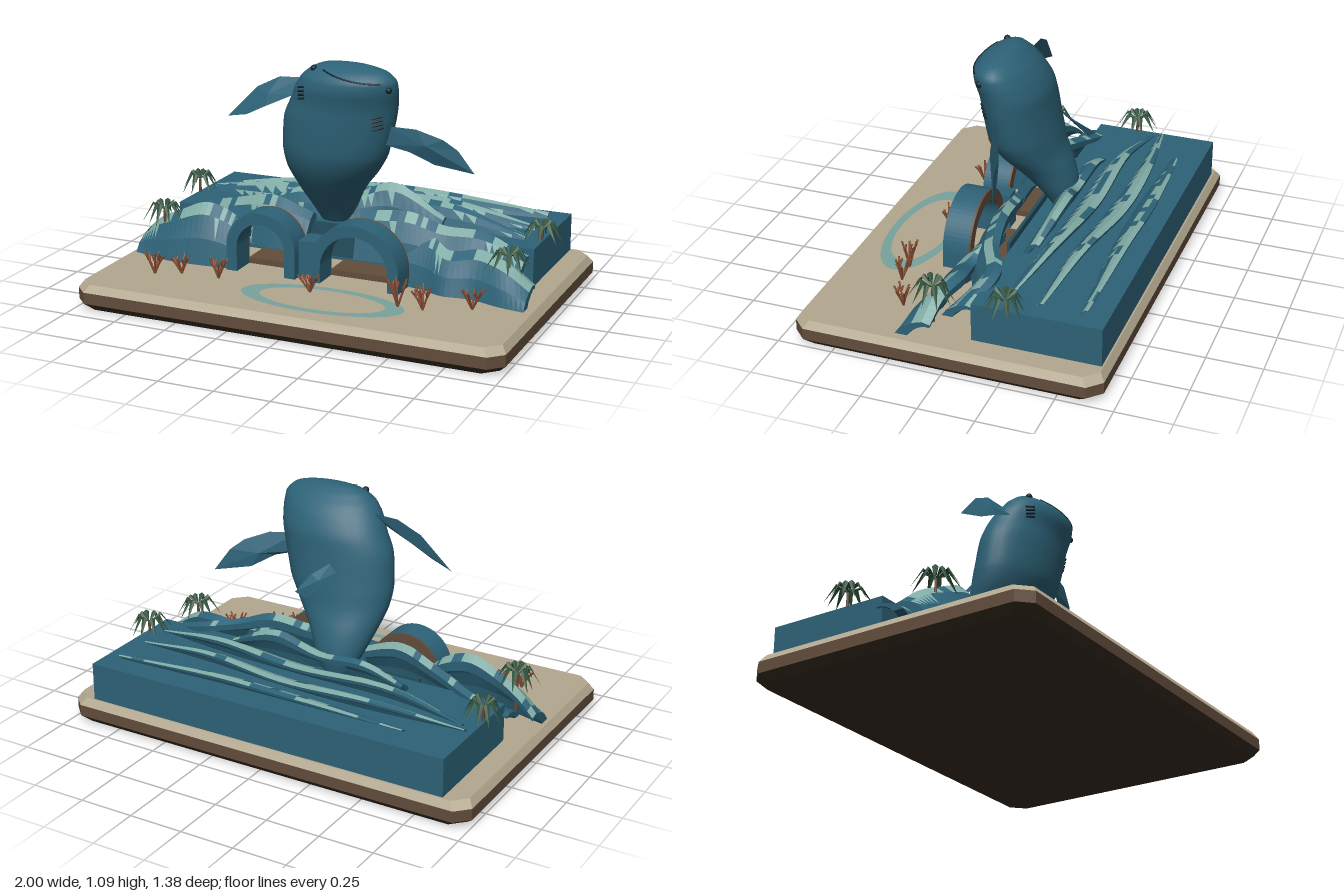
import * as THREE from 'three';

const mat = (name, color, side = THREE.FrontSide) => {
  const m = new THREE.MeshStandardMaterial({ color, side });
  m.name = name;
  return m;
};

export function createModel() {
  const D = THREE.DoubleSide;
  const teal = mat('ocean teal', 0x2d6277, D), foam = mat('pale foam', 0x80aaa4, D);
  const sand = mat('sand', 0xb3a890), brown = mat('wood brown', 0x624d3b), earth = mat('dark earth', 0x3a2d23);
  const ink = mat('dark ink', 0x14262e), green = mat('palm green', 0x31523c, D), coralMat = mat('coral', 0x8f5236);
  const shade = mat('shaded teal', 0x234e5e), pool = mat('pool ring', 0x78a39c);

  const model = new THREE.Group();
  const V = (x, y, z) => new THREE.Vector3(x, y, z);
  const add = (name, geo, material, x = 0, y = 0, z = 0, parent = model) => {
    const m = new THREE.Mesh(geo, material);
    m.name = name;
    m.position.set(x, y, z);
    parent.add(m);
    return m;
  };
  const group = (name) => {
    const g = new THREE.Group();
    g.name = name;
    model.add(g);
    return g;
  };
  const box = (name, material, x0, x1, y0, y1, z0, z1) => add(name, new THREE.BoxGeometry(x1 - x0, y1 - y0, z1 - z0),
    material, (x0 + x1) / 2, (y0 + y1) / 2, (z0 + z1) / 2);
  let seed = 11;
  const rand = () => (seed = (seed * 16807) % 2147483647) / 2147483647;

  // Flat-faced geometry from a list of triangle corners
  const faces = (corners) => {
    const g = new THREE.BufferGeometry().setFromPoints(corners);
    g.computeVertexNormals();
    return g;
  };

  // Closed skin over rings of points, listed from bottom to top
  const loft = (rings, smooth) => {
    const n = rings[0].length, idx = [], pts = rings.flat();
    const centre = (r) => r.reduce((s, p) => s.add(p), V(0, 0, 0)).divideScalar(n);
    const last = (rings.length - 1) * n, lo = pts.length, hi = lo + 1;
    pts.push(centre(rings[0]), centre(rings.at(-1)));
    for (let j = 0; j < n; j++) {
      const k = (j + 1) % n;
      for (let i = 0; i < last; i += n) idx.push(i + j, i + n + j, i + k, i + k, i + n + j, i + n + k);
      idx.push(lo, j, k, hi, last + k, last + j);
    }
    let g = new THREE.BufferGeometry().setFromPoints(pts);
    g.setIndex(idx);
    if (!smooth) g = g.toNonIndexed();
    g.computeVertexNormals();
    return g;
  };

  // Base with cut corners, in three layers
  const plate = (y, inset) => {
    const X = 1 - inset, Z = 0.69 - inset, c = 0.06;
    return [[X, Z - c], [X - c, Z], [c - X, Z], [-X, Z - c], [-X, c - Z], [c - X, -Z], [X - c, -Z], [X, c - Z]]
      .map(([x, z]) => V(x, y, z));
  };
  add('baseUnderside', loft([plate(0, 0.035), plate(0.035, 0)]), earth);
  add('baseBand', loft([plate(0.035, 0), plate(0.087, 0)]), brown);
  add('baseSand', loft([plate(0.087, 0), plate(0.12, 0.022)]), sand);
  const ring = new THREE.RingGeometry(0.768, 1, 48).rotateX(-Math.PI / 2).scale(0.38, 1, 0.155);
  add('poolRing', ring, pool, 0.1, 0.123, 0.44);

  // Building, entrance wall and floors
  box('building', teal, -0.88, 0.88, 0.12, 0.295, -0.66, -0.09);
  box('entranceWall', shade, -0.46, 0.37, 0.145, 0.3, -0.075, -0.06);
  box('centrePillar', teal, -0.12, -0.04, 0.12, 0.29, 0.08, 0.2);

  // Entrance arches
  const archShape = (r, spring, t) => {
    const s = new THREE.Shape();
    s.moveTo(r, 0.12).lineTo(r, spring).absarc(0, spring, r, 0, Math.PI, false).lineTo(-r, 0.12);
    s.lineTo(t - r, 0.12).lineTo(t - r, spring).absarc(0, spring, r - t, Math.PI, 0, true).lineTo(r - t, 0.12);
    return s;
  };
  for (const [x, r, spring] of [[-0.29, 0.17, 0.235], [0.163, 0.2125, 0.1925]]) {
    const arch = (t, depth) => new THREE.ExtrudeGeometry(archShape(r, spring, t), { depth, bevelEnabled: false, curveSegments: 16 });
    add('entranceArch', arch(0.052, 0.12), teal, x, 0, 0.122);
    add('archFrame', arch(0.05, 0.01), brown, x, 0, 0.112);
    box('entranceFloor', brown, x - r + 0.05, x + r - 0.05, 0.12, 0.147, -0.03, 0.118);
  }

  // Curling waves: a crescent section swept along x, with foam on random cells
  const outer = [[1, 0], [0.8, 0.45], [0.45, 0.82], [0.12, 1], [-0.15, 0.9]];
  const inner = [[0.6, 0], [0.47, 0.32], [0.25, 0.6], [0.05, 0.75], [-0.13, 0.72]];
  const wave = (name, base, depth, path, foaminess, taper = 0) => {
    const curve = new THREE.CatmullRomCurve3(path.map(([x, zFront, top]) => V(x, top, zFront)));
    const n = 26, skin = [], spray = [], secs = [];
    for (let i = 0; i <= n; i++) {
      const p = curve.getPoint(i / n), d = depth * (1 - taper + taper * Math.sin(Math.PI * i / n));
      const place = ([u, v]) => V(p.x, base + v * Math.max(0.015, p.y - base), p.z - (1 - u) * d);
      secs.push([outer.map(place), inner.map(place)]);
    }
    const quad = (list, a, b, c, d) => list.push(a, b, c, c, b, d);
    const run = outer.map(() => false);
    for (let i = 0; i < n; i++) {
      const [o, q] = secs[i], [o2, q2] = secs[i + 1];
      for (let k = 0; k < 4; k++) {
        if (rand() < 0.55) run[k] = rand() < foaminess * [0.25, 0.5, 1, 1.2][k];
        if (run[k] && k < 2) {
          skin.push(o[k], o2[k], o[k + 1]);
          spray.push(o[k + 1], o2[k], o2[k + 1]);
        } else quad(run[k] ? spray : skin, o[k], o2[k], o[k + 1], o2[k + 1]);
        quad(skin, q[k], q[k + 1], q2[k], q2[k + 1]);
      }
      quad(skin, o[4], o2[4], q[4], q2[4]);
      quad(skin, o[0], q[0], o2[0], q2[0]);
    }
    for (const [o, q] of [secs[0], secs[n]])
      for (let k = 0; k < 4; k++) quad(skin, o[k], o[k + 1], q[k], q[k + 1]);
    const g = faces([...skin, ...spray]);
    g.addGroup(0, skin.length, 0);
    g.addGroup(skin.length, spray.length, 1);
    add(name, g, [teal, foam]);
  };
  wave('frontWaveRight', 0.12, 0.14, [[-0.96, 0.19, 0.2], [-0.88, 0.21, 0.27], [-0.76, 0.24, 0.33], [-0.62, 0.24, 0.385], [-0.5, 0.23, 0.35], [-0.42, 0.23, 0.28]], 0.45);
  wave('rearWaveRight', 0.2, 0.12, [[-0.9, 0.03, 0.25], [-0.75, 0.0, 0.31], [-0.55, 0.05, 0.37], [-0.33, 0.1, 0.42], [-0.14, 0.1, 0.36]], 0.5);
  wave('frontWaveLeft', 0.12, 0.14, [[0.33, 0.12, 0.35], [0.45, 0.14, 0.33], [0.55, 0.18, 0.29], [0.68, 0.17, 0.31], [0.82, 0.21, 0.28], [0.94, 0.23, 0.2]], 0.45);
  wave('rearWaveLeft', 0.2, 0.12, [[0.1, 0.1, 0.4], [0.33, 0.09, 0.42], [0.48, 0.07, 0.37], [0.65, 0.0, 0.34], [0.86, 0.05, 0.27]], 0.5);
  wave('roofWaveOne', 0.295, 0.11, [[-0.46, -0.17, 0.34], [-0.28, -0.15, 0.41], [-0.05, -0.13, 0.4], [0.15, -0.17, 0.47], [0.42, -0.15, 0.35]], 0.6, 0.4);
  wave('roofWaveTwo', 0.295, 0.11, [[-0.82, -0.35, 0.31], [-0.45, -0.26, 0.38], [0, -0.24, 0.37], [0.4, -0.23, 0.39], [0.8, -0.2, 0.31]], 0.65, 0.75);
  wave('roofWaveThree', 0.295, 0.1, [[-0.85, -0.39, 0.31], [-0.4, -0.4, 0.37], [0, -0.38, 0.36], [0.4, -0.35, 0.37], [0.8, -0.35, 0.31]], 0.65, 0.75);
  wave('roofWaveFour', 0.295, 0.09, [[-0.63, -0.52, 0.31], [-0.2, -0.5, 0.35], [0.2, -0.5, 0.36], [0.8, -0.54, 0.32]], 0.65, 0.7);

  // Creature body: elliptical sections [y, xMin, xMax, zMin, zMax]
  const sections = [
    [0.29, -0.16, -0.03, -0.21, -0.11], [0.37, -0.2, 0.015, -0.23, -0.05], [0.48, -0.24, 0.08, -0.21, 0.045],
    [0.58, -0.27, 0.165, -0.175, 0.115], [0.67, -0.28, 0.22, -0.16, 0.15], [0.82, -0.265, 0.26, -0.14, 0.165],
    [0.9, -0.23, 0.275, -0.13, 0.17], [0.97, -0.195, 0.285, -0.1, 0.185], [1.02, -0.16, 0.283, -0.065, 0.18],
    [1.06, -0.11, 0.24, -0.02, 0.14], [1.083, -0.045, 0.14, 0.02, 0.085], [1.087, 0.03, 0.05, 0.045, 0.055]];
  const spine = new THREE.CatmullRomCurve3(sections.map(([y, a, b, c, d]) => V((a + b) / 2, y, (c + d) / 2)));
  const girth = new THREE.CatmullRomCurve3(sections.map(([, a, b, c, d]) => V((b - a) / 2, 0, (d - c) / 2)));
  const rings = [];
  for (let i = 0; i <= 44; i++) {
    const c = spine.getPoint(i / 44), r = girth.getPoint(i / 44), pts = [];
    for (let j = 0; j < 32; j++) {
      const a = j / 32 * Math.PI * 2;
      pts.push(V(c.x + r.x * Math.cos(a), c.y, c.z + r.z * Math.sin(a)));
    }
    rings.push(pts);
  }
  add('creatureBody', loft(rings, true), teal);
  // Point on the front of the body at a given x and height
  const onBody = (x, y) => {
    let lo = 0, hi = 1;
    for (let i = 0; i < 30; i++) {
      const m = (lo + hi) / 2;
      if (spine.getPoint(m).y < y) lo = m; else hi = m;
    }
    const c = spine.getPoint(lo), r = girth.getPoint(lo), u = (x - c.x) / r.x;
    return V(x, y, c.z + r.z * Math.sqrt(Math.max(0, 1 - u * u)));
  };
  const stroke = (name, pts, radius) =>
    add(name, new THREE.TubeGeometry(new THREE.CatmullRomCurve3(pts), 24, radius, 6), ink);

  // Face: eyes, mouth and gills
  for (const [x, y] of [[0.267, 0.99], [-0.085, 1.058]]) {
    const p = onBody(x, y);
    add('eye', new THREE.SphereGeometry(0.015, 14, 10), ink, p.x, p.y, p.z);
  }
  const mouth = [];
  for (let i = 0; i <= 12; i++) {
    const t = i / 12;
    mouth.push(onBody(-0.03 + 0.27 * t, 1.06 - 0.075 * t + 0.035 * t * t));
  }
  stroke('mouth', mouth, 0.004);
  for (let i = 0; i < 4; i++) {
    stroke('leftGill', [0.195, 0.215, 0.235].map((x, k) => onBody(x, 0.808 + i * 0.018 + k * 0.004)), 0.005);
    stroke('rightGill', [-0.15, -0.13, -0.11].map((x, k) => onBody(x, 0.92 + i * 0.017 + k * 0.005)), 0.005);
  }

  // Fins: flat outlines swollen about their middle
  const fin = (name, outline, swell) => {
    const pts = outline.map((p) => V(...p)), mid = pts.reduce((s, p) => s.add(p), V(0, 0, 0)).divideScalar(pts.length);
    const a = mid.clone().add(swell), b = mid.clone().sub(swell), tris = [];
    pts.forEach((p, i) => {
      const q = pts[(i + 1) % pts.length];
      tris.push(a, p, q, b, q, p);
    });
    add(name, faces(tris), teal);
  };
  fin('rightFin', [[-0.17, 0.99, 0.02], [-0.29, 0.985, 0.02], [-0.4, 0.93, 0.03], [-0.54, 0.785, 0.05], [-0.43, 0.81, 0.08], [-0.33, 0.86, 0.09], [-0.2, 0.92, 0.08]], V(0.008, 0.014, 0.016));
  fin('leftFin', [[0.23, 0.815, 0.04], [0.36, 0.805, 0.01], [0.47, 0.76, -0.03], [0.53, 0.71, -0.06], [0.6, 0.605, -0.085], [0.43, 0.64, -0.04], [0.33, 0.7, 0.01], [0.22, 0.73, 0.04]], V(0.006, 0.012, 0.018));
  fin('dorsalFin', [[-0.05, 0.79, -0.13], [0, 0.755, -0.22], [0.01, 0.715, -0.34], [-0.02, 0.675, -0.3], [-0.08, 0.75, -0.14]], V(0.01, 0.003, 0));

  // Palms: a short trunk under a crown of drooping leaves
  for (const [x, y, z] of [[-0.87, 0.36, -0.28], [-0.83, 0.33, 0.14], [0.83, 0.31, 0.1], [0.87, 0.34, -0.24]]) {
    const palm = group('palm'), tris = [];
    for (let i = 0; i < 10; i++) {
      const a = i * 0.628 + rand() * 0.3, r = 0.085 + rand() * 0.03, c = Math.cos(a), s = Math.sin(a);
      const at = (d, h, w) => V(c * d - s * w, h, s * d + c * w);
      const root = at(0, 0, 0), l = at(r * 0.5, 0.03, 0.013), k = at(r * 0.5, 0.03, -0.013), rib = at(r * 0.5, 0.04, 0);
      const tip = at(r, -0.04 - rand() * 0.02, 0);
      tris.push(root, l, rib, root, rib, k, l, tip, rib, rib, tip, k);
    }
    add('palmLeaves', faces(tris), green, x, y, z, palm);
    const h = y - (z < -0.09 ? 0.12 : 0.14);
    add('palmTrunk', new THREE.CylinderGeometry(0.006, 0.009, h, 6), brown, x, y - h / 2, z, palm);
  }

  // Coral sprigs on the sand
  for (const [x, z, h] of [[-0.73, 0.42, 0.1], [-0.62, 0.37, 0.08], [-0.44, 0.36, 0.09], [0.01, 0.36, 0.08], [0.43, 0.38, 0.12], [0.54, 0.37, 0.1], [0.73, 0.28, 0.09]]) {
    const coral = group('coral');
    coral.position.set(x, 0.12, z);
    for (let i = 0; i < 6; i++) {
      const a = i * 1.047 + rand() * 0.7, r = 0.035 + rand() * 0.03, c = Math.cos(a), s = Math.sin(a) * 0.7;
      const branch = (...pts) => add('coralBranch', new THREE.TubeGeometry(new THREE.CatmullRomCurve3(pts), 4, 0.0045, 5), coralMat, 0, 0, 0, coral);
      const fork = V(c * r * 0.55, h * 0.6, s * r * 0.55);
      branch(V(0, 0, 0), fork, V(c * r, h * (0.85 + rand() * 0.25), s * r));
      branch(fork, V(c * r * 0.6 - s * 0.015, h * 0.9, s * r * 0.6 + c * 0.015));
    }
  }
  return model;
}
